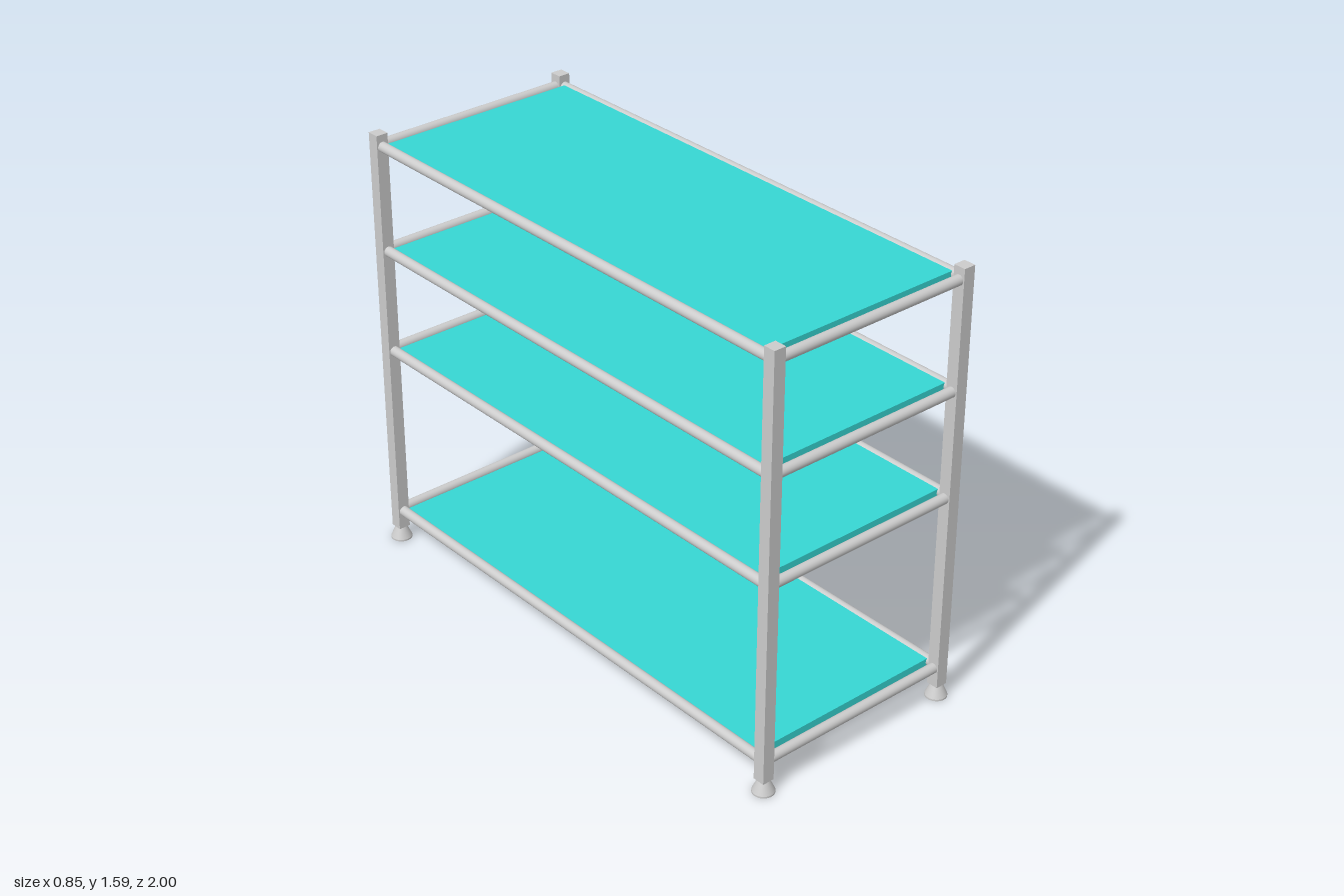
import * as THREE from 'three';

const POST_X = 0.386, POST_Z = 0.962, POST_W = 0.044;
const POST_BOTTOM = 0.048, POST_TOP = 1.587;
const RAIL_R = 0.018;
const LEVELS = [0.118, 0.772, 1.157, 1.543];

export function createModel() {
  const model = new THREE.Group();
  model.name = 'shelvingRack';
  const metal = new THREE.MeshStandardMaterial({ color: 0xcccccc });
  const panel = new THREE.MeshStandardMaterial({ color: 0x36d6d3 });

  const add = (name, geometry, material, x, y, z, parent = model) => {
    const mesh = new THREE.Mesh(geometry, material);
    mesh.name = name;
    mesh.position.set(x, y, z);
    parent.add(mesh);
    return mesh;
  };

  // Square posts on flared round feet
  const postGeo = new THREE.BoxGeometry(POST_W, POST_TOP - POST_BOTTOM, POST_W);
  const rimGeo = new THREE.CylinderGeometry(0.038, 0.038, 0.006, 32);
  const coneGeo = new THREE.CylinderGeometry(0.019, 0.038, 0.042, 32);
  for (const sx of [1, -1]) {
    for (const sz of [1, -1]) {
      const x = sx * POST_X, z = sz * POST_Z;
      add('post', postGeo, metal, x, (POST_BOTTOM + POST_TOP) / 2, z);
      const foot = new THREE.Group();
      foot.name = 'foot';
      foot.position.set(x, 0, z);
      add('footRim', rimGeo, metal, 0, 0.003, 0, foot);
      add('footCone', coneGeo, metal, 0, 0.027, 0, foot);
      model.add(foot);
    }
  }

  // Round rails running between the post faces
  const endRailGeo = new THREE.CylinderGeometry(RAIL_R, RAIL_R, 2 * POST_X - POST_W, 24).rotateZ(Math.PI / 2);
  const sideRailGeo = new THREE.CylinderGeometry(RAIL_R, RAIL_R, 2 * POST_Z - POST_W, 24).rotateX(Math.PI / 2);
  // Shelf panels let into the side rails, leaving a gap at each end
  const shelfGeo = new THREE.BoxGeometry(0.755, 0.026, 1.85);

  for (const y of LEVELS) {
    const level = new THREE.Group();
    level.name = 'shelfLevel';
    level.position.y = y;
    for (const s of [1, -1]) {
      add('endRail', endRailGeo, metal, 0, 0, s * POST_Z, level);
      add('sideRail', sideRailGeo, metal, s * POST_X, 0, 0, level);
    }
    add('shelfPanel', shelfGeo, panel, 0, 0, 0, level);
    model.add(level);
  }
  return model;
}
